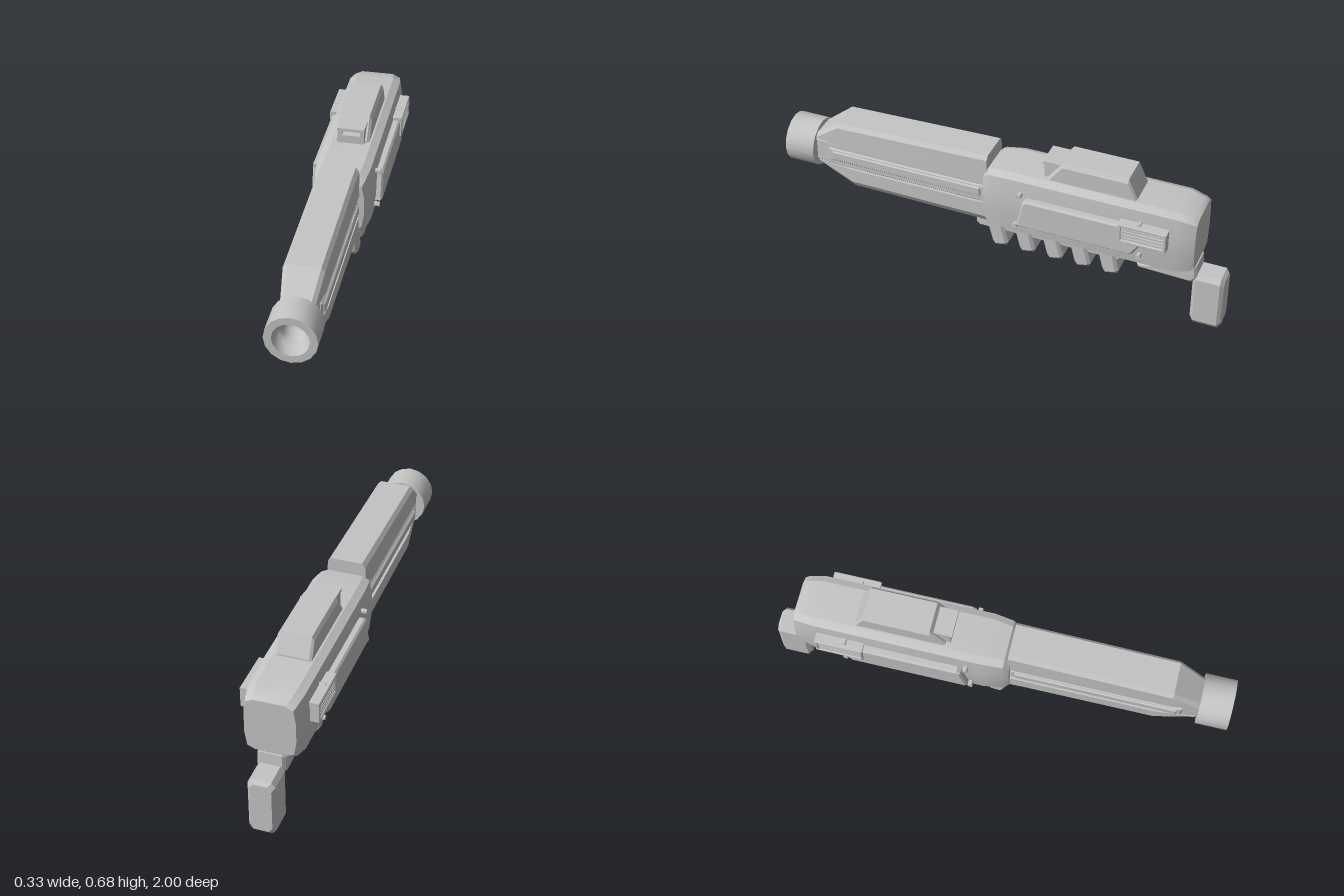
import * as THREE from 'three';
import { toCreasedNormals } from 'three/addons/utils/BufferGeometryUtils.js';

const grey = new THREE.MeshStandardMaterial({ color: 0xc4c4c4 });
grey.name = 'plain grey';

// Skin between convex rings along z; each section is [z, half outline from bottom to top on +x]
function loft(sections, crease = 0.3) {
  const pos = [], idx = [];
  const n = sections[0][1].length * 2;
  for (const [z, half] of sections) {
    const ring = [...half, ...half.map(([x, y]) => [-x, y]).reverse()];
    for (const [x, y] of ring) pos.push(x, y, z);
  }
  for (let i = 0; i < sections.length - 1; i++) {
    for (let j = 0; j < n; j++) {
      const a = i * n + j, b = i * n + (j + 1) % n;
      idx.push(a, b, b + n, a, b + n, a + n);
    }
  }
  const f = (sections.length - 1) * n;
  for (let j = 1; j < n - 1; j++) idx.push(0, j + 1, j, f, f + j, f + j + 1);
  const g = new THREE.BufferGeometry();
  g.setAttribute('position', new THREE.Float32BufferAttribute(pos, 3));
  g.setIndex(idx);
  return toCreasedNormals(g, crease);
}

// Side outline of [z, y] points extruded across x from x0 to x1, edges bevelled inwards
function sideExtrude(points, x0, x1, bevel = 0, hole = null) {
  const shape = new THREE.Shape(points.map(p => new THREE.Vector2(...p)));
  if (hole) shape.holes.push(new THREE.Path(hole.map(p => new THREE.Vector2(...p))));
  const g = new THREE.ExtrudeGeometry(shape, {
    depth: x1 - x0 - 2 * bevel, bevelEnabled: bevel > 0, bevelSize: bevel,
    bevelThickness: bevel, bevelOffset: -bevel, bevelSegments: 1,
  });
  g.rotateY(-Math.PI / 2);
  g.translate(x1 - bevel, 0, 0);
  return g;
}

const rect = (z0, z1, y0, y1) => [[z0, y0], [z1, y0], [z1, y1], [z0, y1]];

export function createModel() {
  const model = new THREE.Group();
  model.name = 'blaster';
  const add = (name, geometry, parent = model) => {
    const mesh = new THREE.Mesh(geometry, grey);
    mesh.name = name;
    parent.add(mesh);
    return mesh;
  };

  // Main body with softened ends
  const bodyHalf = (w, lo, hi) => [
    [w - 0.042, lo], [w - 0.01, lo + 0.014], [w, 0.40],
    [w, 0.49], [w - 0.01, hi - 0.016], [w - 0.042, hi],
  ];
  add('body', loft([
    [-0.877, bodyHalf(0.108, 0.322, 0.568)],
    [-0.86, bodyHalf(0.115, 0.305, 0.577)],
    [-0.79, bodyHalf(0.126, 0.292, 0.591)],
    [-0.05, bodyHalf(0.128, 0.297, 0.591)],
    [0.035, bodyHalf(0.119, 0.303, 0.581)],
    [0.06, bodyHalf(0.107, 0.325, 0.558)],
  ], 0.45));

  // Barrel shrouds and core
  const topHalf = (w, hi) => [[w, 0.5], [w - 0.003, hi - 0.018], [w - 0.018, hi]];
  add('upperShroud', loft([
    [0.05, topHalf(0.087, 0.632)],
    [0.75, topHalf(0.087, 0.613)],
    [0.87, topHalf(0.07, 0.522)],
  ]));
  const lowHalf = (w, lo) => [[w - 0.022, lo], [w, lo + 0.025 * (0.4 - lo) / 0.115 + 0.01], [w, 0.39]];
  add('lowerShroud', loft([
    [0.05, lowHalf(0.085, 0.285)],
    [0.69, lowHalf(0.085, 0.293)],
    [0.86, lowHalf(0.068, 0.372)],
  ]));
  const coreHalf = w => [[w - 0.012, 0.38], [w, 0.395], [w, 0.495], [w - 0.012, 0.51]];
  add('barrelCore', loft([[0, coreHalf(0.076)], [0.76, coreHalf(0.076)], [0.87, coreHalf(0.066)]]));

  // Muzzle ring with a stepped, rounded bore
  const profile = [
    [0.05, 0.865], [0.108, 0.865], [0.108, 1.0], [0.076, 1.0], [0.073, 0.965],
    [0.065, 0.945], [0.055, 0.94], [0.05, 0.93], [0.05, 0.91],
    [0.042, 0.893], [0.025, 0.88], [0, 0.876],
  ].map(([r, z]) => new THREE.Vector2(r, z));
  const muzzle = new THREE.LatheGeometry(profile, 16);
  muzzle.rotateX(Math.PI / 2);
  muzzle.translate(0, 0.443, 0);
  add('muzzle', toCreasedNormals(muzzle, 0.75));

  // Scope block and hooded front sight
  const scopeHalf = (lo, hi) => [[0.077, lo], [0.077, hi - 0.017], [0.066, hi]];
  add('scope', loft([
    [-0.61, scopeHalf(0.575, 0.597)],
    [-0.57, scopeHalf(0.575, 0.683)],
    [-0.285, scopeHalf(0.575, 0.683)],
    [-0.22, scopeHalf(0.575, 0.597)],
  ]));
  add('sightRoof', sideExtrude(rect(-0.33, -0.193, 0.652, 0.666), -0.06, 0.06));
  add('sightBase', sideExtrude([[-0.33, 0.58], [-0.2, 0.58], [-0.2, 0.628], [-0.33, 0.628]], -0.058, 0.058));
  for (const s of [-1, 1]) {
    add('sightWall', sideExtrude(rect(-0.33, -0.2, 0.6, 0.655), s * 0.049 - 0.009, s * 0.049 + 0.009));
  }

  // Underside rail and slanted grip fins
  add('lowerRail', sideExtrude([
    [0.11, 0.285], [0.11, 0.26], [0.095, 0.245], [-0.54, 0.242], [-0.55, 0.25], [-0.55, 0.31], [0.05, 0.31],
  ], -0.063, 0.063, 0.008));
  for (let i = 0; i < 5; i++) {
    const z = -0.126 * i;
    add('gripFin', sideExtrude([
      [z + 0.06, 0.3], [z + 0.03, 0.185], [z + 0.018, 0.167],
      [z - 0.035, 0.178], [z - 0.042, 0.192], [z - 0.016, 0.3],
    ], -0.077, 0.077, 0.012));
  }

  // Rear mount and handle
  add('rearMount', sideExtrude([
    [-0.615, 0.255], [-0.625, 0.228], [-0.86, 0.22], [-0.885, 0.245], [-0.88, 0.315], [-0.68, 0.315], [-0.67, 0.265],
  ], -0.06, 0.06, 0.012));
  const handleHalf = (w, lo, hi) => [[w - 0.016, lo], [w, lo + 0.022], [w, hi - 0.022], [w - 0.016, hi]];
  add('handle', loft([
    [-1.0, handleHalf(0.046, 0.016, 0.25)],
    [-0.985, handleHalf(0.058, 0, 0.265)],
    [-0.88, handleHalf(0.058, 0, 0.265)],
    [-0.865, handleHalf(0.046, 0.016, 0.25)],
  ]));

  // Fittings on both sides
  for (const s of [1, -1]) {
    const side = new THREE.Group();
    side.name = s > 0 ? 'leftFittings' : 'rightFittings';
    model.add(side);
    const addSide = (name, pts, x0, x1, bevel, hole) =>
      add(name, sideExtrude(pts, s > 0 ? x0 : -x1, s > 0 ? x1 : -x0, bevel, hole), side);

    // Strip along the barrel
    addSide('barrelStrip', rect(0.06, 0.8, 0.412, 0.478), 0.06, 0.083, 0.006);
    addSide('barrelStripRidge', rect(0.08, 0.78, 0.425, 0.468), 0.07, 0.091, 0.005);

    // Slanted side panel
    addSide('sidePanel', [
      [-0.11, 0.372], [-0.115, 0.39], [-0.138, 0.496], [-0.155, 0.508],
      [-0.66, 0.508], [-0.66, 0.43], [-0.628, 0.378], [-0.615, 0.368], [-0.12, 0.368],
    ], 0.11, 0.156, 0.008);

    // Framed vent with slats
    addSide('ventFrame', rect(-0.77, -0.562, 0.43, 0.522), 0.115, 0.166, 0.003, rect(-0.756, -0.576, 0.444, 0.508));
    addSide('ventBack', rect(-0.765, -0.57, 0.435, 0.515), 0.115, 0.146, 0);
    for (let i = 0; i < 4; i++) {
      const y = 0.448 + i * 0.0155;
      addSide('ventSlat', rect(-0.76, -0.572, y, y + 0.009), 0.14, 0.162, 0);
    }

    // Corner bolts
    for (const [z, y] of [[-0.12, 0.518], [-0.1, 0.36], [-0.65, 0.36], [-0.645, 0.518]]) {
      const bolt = new THREE.CylinderGeometry(0.011, 0.011, 0.038, 10);
      bolt.rotateZ(Math.PI / 2);
      add('bolt', toCreasedNormals(bolt, 0.8), side).position.set(s * 0.129, y, z);
    }
  }

  return model;
}
